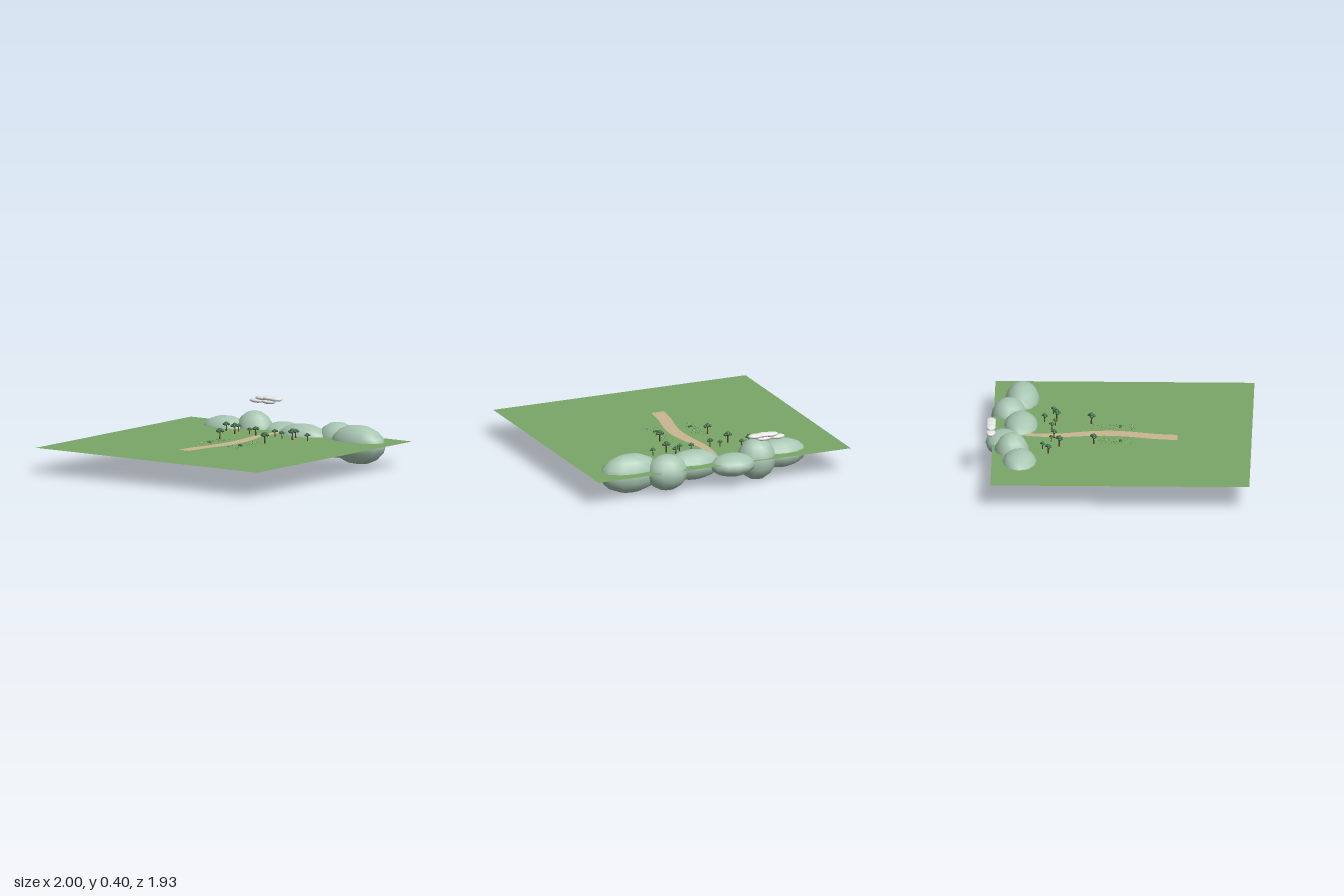
import * as THREE from 'three';

const mat = (name, color, side = THREE.FrontSide) => {
  const m = new THREE.MeshStandardMaterial({ color, side });
  m.name = name;
  return m;
};

export function createModel() {
  const model = new THREE.Group();
  model.name = 'landscape';
  const M = {
    grass: mat('meadow green', 0x7aa668, THREE.DoubleSide),
    path: mat('sandy path', 0xc9b591, THREE.DoubleSide),
    hill: mat('misty hill green', 0xa9c7b3),
    trunk: mat('bark brown', 0x5a3a28),
    leaf: mat('leaf green', 0x3f6b45),
    tuft: mat('tuft green', 0x4a7a48),
    flower: mat('pale flower', 0xd8d8a0),
    cloud: mat('cloud white', 0xf4f4f4),
  };
  const Y = 0.185; // meadow level

  const add = (parent, name, geo, material, x = 0, y = 0, z = 0, sx = 1, sy = sx, sz = sx) => {
    const mesh = new THREE.Mesh(geo, material);
    mesh.name = name;
    mesh.position.set(x, y, z);
    mesh.scale.set(sx, sy, sz);
    parent.add(mesh);
    return mesh;
  };
  const group = (name, x = 0, y = 0, z = 0) => {
    const g = new THREE.Group();
    g.name = name;
    g.position.set(x, y, z);
    model.add(g);
    return g;
  };

  // Flat meadow
  const meadow = new THREE.PlaneGeometry(2, 1.876).rotateX(-Math.PI / 2);
  add(model, 'meadow', meadow, M.grass, 0, Y, 0.025);

  // Winding path: [centre x, z, width], narrowing into the hills
  const stations = [
    [-0.063, 0.425, 0.1], [-0.046, 0.27, 0.1], [-0.003, 0.065, 0.1], [0.01, -0.07, 0.097],
    [-0.003, -0.24, 0.09], [-0.035, -0.42, 0.07], [-0.033, -0.59, 0.062], [-0.018, -0.72, 0.045],
  ];
  const curve = new THREE.CatmullRomCurve3(stations.map(([x, z, w]) => new THREE.Vector3(x, w, z)));
  const pos = [], idx = [], N = 28;
  for (let i = 0; i <= N; i++) {
    const p = curve.getPoint(i / N);
    pos.push(p.x - p.y / 2, 0, p.z, p.x + p.y / 2, 0, p.z);
    if (i < N) idx.push(2 * i, 2 * i + 1, 2 * i + 2, 2 * i + 1, 2 * i + 3, 2 * i + 2);
  }
  const pathGeo = new THREE.BufferGeometry();
  pathGeo.setAttribute('position', new THREE.Float32BufferAttribute(pos, 3));
  pathGeo.setIndex(idx);
  pathGeo.computeVertexNormals();
  add(model, 'path', pathGeo, M.path, 0, Y + 0.002, 0);

  // Rounded hills: [x, z, half width, half height]
  const hills = group('hills');
  const hillGeo = new THREE.SphereGeometry(1, 12, 8);
  [
    [-0.53, -0.71, 0.195, 0.105], [-0.315, -0.77, 0.145, 0.155], [-0.1, -0.835, 0.172, 0.082],
    [0.165, -0.712, 0.218, 0.108], [0.41, -0.803, 0.155, 0.132], [0.662, -0.712, 0.232, 0.144],
  ].forEach(([x, z, rx, ry]) => add(hills, 'hill', hillGeo, M.hill, x, 0.157, z, rx, ry, 0.13));

  // Trees: [x, z, size]
  const trunkGeo = new THREE.CylinderGeometry(0.004, 0.006, 0.055, 6).translate(0, 0.0275, 0);
  const blobGeo = new THREE.IcosahedronGeometry(1, 1);
  [
    [-0.375, -0.505, 0.85], [-0.297, -0.548, 0.68], [-0.24, -0.428, 1.0], [-0.152, -0.488, 0.6],
    [-0.082, -0.468, 0.8], [0.076, -0.488, 0.7], [0.157, -0.464, 0.65], [0.223, -0.543, 0.8],
    [0.26, -0.455, 1.0], [0.377, -0.48, 0.68], [-0.19, -0.18, 0.95], [0.198, -0.203, 1.0],
  ].forEach(([x, z, s]) => {
    const tree = group('tree', x, Y, z);
    tree.scale.setScalar(s);
    add(tree, 'trunk', trunkGeo, M.trunk);
    [[0, 0.07, 0, 0.018], [0.02, 0.063, -0.005, 0.014], [-0.02, 0.06, 0.003, 0.014],
      [0.003, 0.06, 0.016, 0.013], [0.004, 0.066, -0.016, 0.012]].forEach(([bx, by, bz, r]) =>
      add(tree, 'foliage', blobGeo, M.leaf, bx, by, bz, r, r * 0.8, r));
  });

  // Low bushes beside the path
  [[-0.14, 0.01], [0.137, 0.008]].forEach(([x, z]) => {
    const bush = group('bush', x, Y, z);
    [[0, 0], [0.009, 0.004], [-0.009, 0.003]].forEach(([bx, bz], i) =>
      add(bush, 'leaves', blobGeo, M.leaf, bx, i ? 0.005 : 0.008, bz, 0.009, 0.008, 0.009));
  });

  // Scattered grass tufts and flowers on both sides of the path
  let seed = 7;
  const rand = () => (seed = (seed * 16807) % 2147483647) / 2147483647;
  const tuftGeo = new THREE.ConeGeometry(0.0025, 0.008, 4).translate(0, 0.004, 0);
  const flowerGeo = new THREE.OctahedronGeometry(0.0028);
  const verge = group('verge');
  for (const side of [-1, 1]) {
    for (let i = 0; i < 45; i++) {
      const x = side * (0.085 + 0.1 * rand()), z = -0.2 + 0.32 * rand();
      if (i % 5) add(verge, 'grassTuft', tuftGeo, M.tuft, x, Y, z);
      else add(verge, 'flower', flowerGeo, M.flower, x, Y + 0.005, z);
    }
  }

  // Cloud of flattened puffs
  const cloud = group('cloud', 0, 0, -0.921);
  const puffGeo = new THREE.SphereGeometry(1, 12, 8);
  [[-0.412, 0.357], [-0.305, 0.357], [-0.36, 0.38], [-0.305, 0.383], [-0.243, 0.38]]
    .forEach(([x, y]) => add(cloud, 'puff', puffGeo, M.cloud, x, y, 0, 0.06, 0.017, 0.036));

  return model;
}
